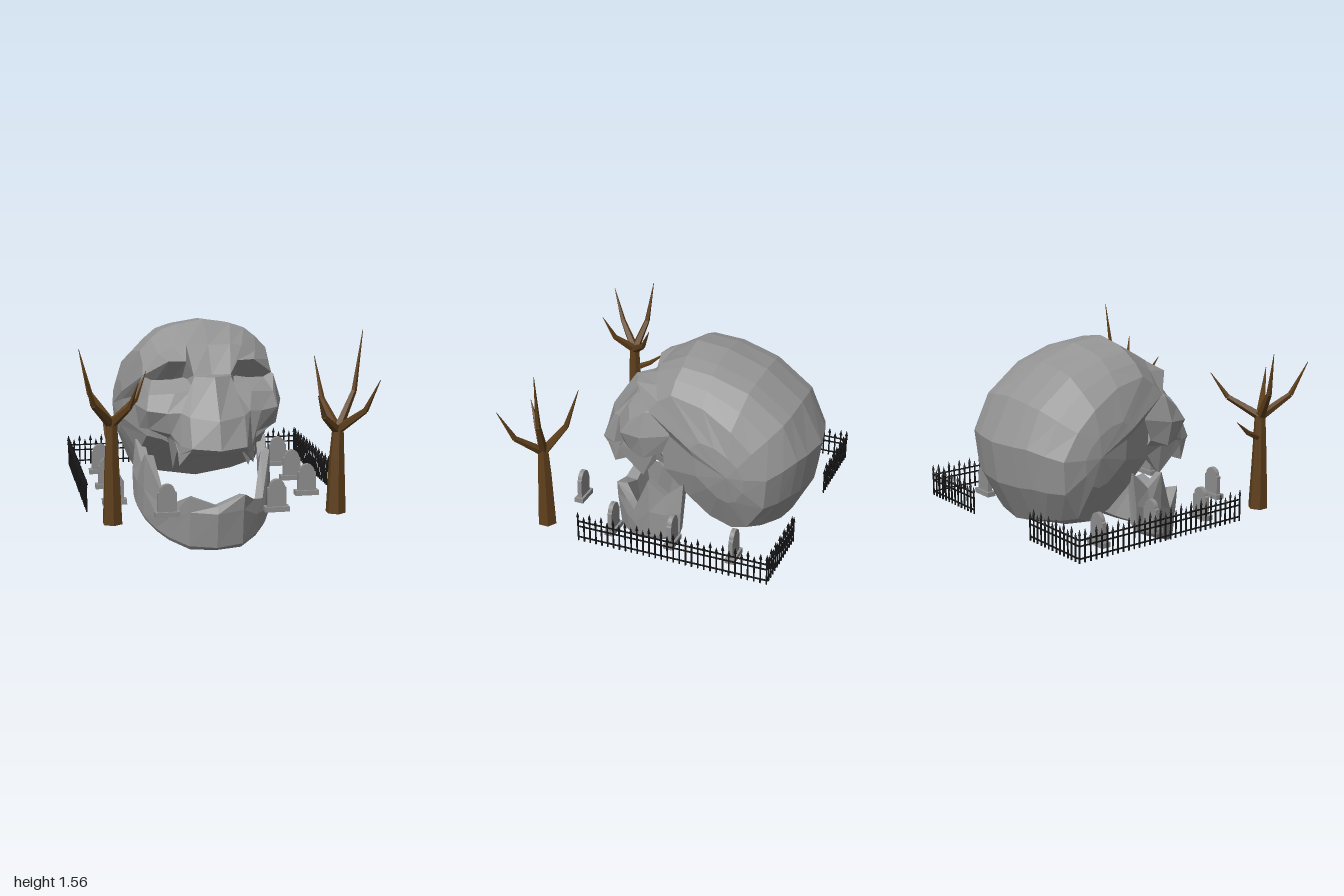
import * as THREE from 'three';
import { mergeGeometries } from 'three/addons/utils/BufferGeometryUtils.js';

const GROUND = 0.32;
const mat = (name, color, extra = {}) => {
  const m = new THREE.MeshStandardMaterial({ color, flatShading: true, ...extra });
  m.name = name;
  return m;
};

// Full row across x from a half row that runs centre -> side
const mirrorRow = (half) => [
  ...half.slice(1).reverse().map(([x, y, z]) => [-x, y, z]), ...half];

// Faceted surface from rows of points; rows may close into a loop
function gridGeometry(rows, closed) {
  const pos = [];
  const n = rows.length;
  for (let i = 0; i < (closed ? n : n - 1); i++) {
    const a = rows[i], b = rows[(i + 1) % n];
    for (let j = 0; j < a.length - 1; j++) {
      pos.push(...a[j], ...a[j + 1], ...b[j + 1], ...a[j], ...b[j + 1], ...b[j]);
    }
  }
  const g = new THREE.BufferGeometry();
  g.setAttribute('position', new THREE.Float32BufferAttribute(pos, 3));
  g.computeVertexNormals();
  return g;
}

function addMesh(parent, name, geometry, material) {
  const m = new THREE.Mesh(geometry, material);
  m.name = name;
  parent.add(m);
  return m;
}

// Point between two others, pushed slightly out from the middle of the cranium
function bulge(a, b, t, k) {
  const [x, y, z] = a.map((v, i) => v + (b[i] - v) * t);
  return [x, 0.9 + (y - 0.9) * k, -0.4 + (z + 0.4) * k];
}

// Cranium rings: brow, forehead, over the crown, round the back, along the base, eye socket depth
function craniumGeometry() {
  const crest = [[1.21, 0.27], [1.4, 0.13], [1.555, -0.08], [1.53, -0.31], [1.43, -0.59], [1.23, -0.85],
    [0.94, -1], [0.65, -0.96], [0.365, -0.81], [0.305, -0.6], [0.34, -0.39], [0.52, -0.2], [0.7, 0.08],
    [0.95, 0.18]];
  const shoulder = [[0.18, 1.31, 0.275], [0.24, 1.39, 0.12], [0.3, 1.485, -0.09], [0.31, 1.465, -0.31],
    [0.31, 1.38, -0.57], [0.31, 1.19, -0.82], [0.31, 0.94, -0.93], [0.31, 0.66, -0.89], [0.29, 0.42, -0.77],
    [0.28, 0.35, -0.6], [0.27, 0.38, -0.4], [0.26, 0.52, -0.22], [0.24, 0.7, 0.06], [0.2, 1.12, 0.13]];
  const temple = [[0.46, 1.19, 0.1], [0.45, 1.27, 0.03], [0.455, 1.34, -0.07], [0.485, 1.3, -0.31],
    [0.53, 1.19, -0.53], [0.54, 1.06, -0.68], [0.535, 0.88, -0.79], [0.52, 0.65, -0.77], [0.48, 0.45, -0.64],
    [0.45, 0.4, -0.52], [0.44, 0.45, -0.35], [0.45, 0.58, -0.2], [0.42, 0.74, 0], [0.42, 1.05, 0.02]];
  const hub = [0.6, 0.88, -0.53];
  const rows = crest.map(([y, z], i) => {
    const c = [0, y, z], s = shoulder[i], t = temple[i], k = i < 9 ? 1.02 : 1;
    const inner = i === 0 ? [0.13, 1.215, 0.285] : bulge(c, s, 0.65, k);
    const outer = i === 0 ? [0.3, 1.31, 0.25] : bulge(s, t, 0.5, k);
    const side = [t[0] + (hub[0] - t[0]) * 0.75, t[1] + (hub[1] - t[1]) * 0.55, t[2] + (hub[2] - t[2]) * 0.55];
    return mirrorRow([c, inner, s, outer, t, side, hub]);
  });
  return gridGeometry(rows, true);
}

// Face rows: socket floor, eye rim, nose base and cheekbone, upper jaw, cheek hollow, tooth edge, palate
function faceGeometry() {
  const socket = [[0, 1.215, 0.27], [0.13, 1.215, 0.285], [0.17, 1.19, 0.19], [0.27, 1.17, 0.17],
    [0.4, 1.16, 0.11], [0.46, 1.19, 0.1], [0.45, 1.2, 0]];
  const rim = [[0, 1.215, 0.385], [0.13, 1.205, 0.3], [0.14, 1.13, 0.33], [0.27, 1.1, 0.33],
    [0.44, 1.08, 0.25], [0.47, 1.18, 0.12], [0.455, 1.17, 0]];
  const nose = [[0, 0.94, 0.57], [0.19, 0.96, 0.48], [0.24, 0.98, 0.42], [0.33, 0.97, 0.375],
    [0.46, 0.98, 0.31], [0.52, 1, 0.14], [0.48, 1.04, -0.07]];
  const upperJaw = [[0, 0.75, 0.625], [0.19, 0.76, 0.57], [0.25, 0.76, 0.46], [0.3, 0.82, 0.36],
    [0.44, 0.84, 0.24], [0.49, 0.83, 0.13], [0.46, 0.88, 0]];
  const hollow = [[0, 0.74, 0.61], [0.195, 0.74, 0.55], [0.255, 0.7, 0.455], [0.28, 0.78, 0.39],
    [0.3, 0.77, 0.23], [0.31, 0.8, 0.11], [0.42, 0.83, 0]];
  const teeth = [[0, 0.73, 0.6], [0.2, 0.72, 0.53], [0.26, 0.62, 0.45], [0.27, 0.73, 0.43],
    [0.27, 0.55, 0.23], [0.28, 0.71, 0.12], [0.4, 0.76, 0]];
  const palate = teeth.map(([x]) => [x * 0.7, 0.76, 0.08]);
  return gridGeometry([palate, teeth, hollow, upperJaw, nose, rim, socket].map(mirrorRow), false);
}

// Lower jaw: a U-shaped loft from chin to hinge
function jawGeometry() {
  const bottom = [[0, 0.005, 0.45], [0.18, 0.01, 0.42], [0.31, 0.05, 0.3], [0.38, 0.09, 0.21],
    [0.45, 0.15, 0.09], [0.48, 0.2, -0.04], [0.495, 0.25, -0.14]];
  const chin = [[0, 0.03, 0.485], [0.19, 0.04, 0.44], [0.325, 0.08, 0.31], [0.395, 0.12, 0.22],
    [0.46, 0.18, 0.09], [0.49, 0.22, -0.04], [0.5, 0.28, -0.15]];
  const middle = [[0, 0.28, 0.52], [0.19, 0.29, 0.47], [0.31, 0.22, 0.345], [0.39, 0.22, 0.25],
    [0.46, 0.38, 0.1], [0.49, 0.4, -0.03], [0.505, 0.45, -0.16]];
  const top = [[0, 0.33, 0.49], [0.2, 0.4, 0.47], [0.29, 0.33, 0.35], [0.37, 0.31, 0.26],
    [0.45, 0.63, 0.11], [0.46, 0.54, -0.02], [0.48, 0.68, -0.17]];
  const inward = (row, dy) => row.map(([x, y, z], i) => [x * 0.86, y + dy, z - (i < 4 ? 0.09 - i * 0.02 : 0)]);
  const rows = [bottom, chin, middle, top, inward(top, -0.01), inward(bottom, 0.04)];
  const end = [0.45, 0.45, -0.15];
  return gridGeometry(rows.map((r) => mirrorRow([...r, end])), true);
}

// Tapered limb through a few points
function limb(points, radii, sides) {
  const up = new THREE.Vector3(0, 1, 0);
  return mergeGeometries(points.slice(1).map((p, i) => {
    const a = new THREE.Vector3(...points[i]), d = new THREE.Vector3(...p).sub(a);
    const g = new THREE.CylinderGeometry(radii[i + 1], radii[i], d.length(), sides);
    g.applyQuaternion(new THREE.Quaternion().setFromUnitVectors(up, d.clone().normalize()));
    return g.translate(...a.addScaledVector(d, 0.5).toArray());
  }));
}

function makeTree(name, x, z, fork, tips, twig, bark) {
  const tree = new THREE.Group();
  tree.name = name;
  const top = [x + 0.005, fork, z];
  addMesh(tree, 'trunk', limb([[x, GROUND, z], [x, 0.7, z], top], [0.07, 0.053, 0.038], 6), bark);
  tips.forEach((tip) => {
    const mid = [x + (tip[0] - x) * 0.67, fork + (tip[1] - fork) * 0.36, z + (tip[2] - z) * 0.62];
    addMesh(tree, 'branch', limb([[x, fork - 0.03, z], mid, tip], [0.034, 0.02, 0.002], 5), bark);
  });
  if (twig) {
    const mid = [(x + twig[0]) / 2, twig[1] - 0.1, (z + twig[2]) / 2];
    addMesh(tree, 'lowBranch', limb([[x, twig[1] - 0.16, z], mid, twig], [0.026, 0.018, 0.002], 5), bark);
  }
  return tree;
}

// Straight fence run with rails and alternating tall and short spear pickets
function fenceRun(x0, z0, x1, z1) {
  const parts = [], len = Math.hypot(x1 - x0, z1 - z0), n = Math.round(len / 0.044);
  const alongX = Math.abs(x1 - x0) > Math.abs(z1 - z0);
  const box = (w, h, d, x, y, z) => parts.push(new THREE.BoxGeometry(w, h, d).translate(x, y, z));
  for (const y of [0.35, 0.435, 0.475]) {
    box(alongX ? len : 0.008, 0.009, alongX ? 0.008 : len, (x0 + x1) / 2, y, (z0 + z1) / 2);
  }
  for (let i = 0; i <= n; i++) {
    const x = x0 + (x1 - x0) * i / n, z = z0 + (z1 - z0) * i / n;
    const h = i % 2 ? 0.16 : 0.19;
    box(0.009, h, 0.009, x, GROUND + h / 2, z);
    parts.push(new THREE.ConeGeometry(0.012, 0.045, 4).translate(x, GROUND + h + 0.02, z));
  }
  return mergeGeometries(parts);
}

function makeTombstone(x, z, stone) {
  const grave = new THREE.Group();
  grave.name = 'tombstone';
  grave.position.set(x, GROUND, z);
  addMesh(grave, 'plinth', new THREE.BoxGeometry(0.17, 0.035, 0.066).translate(0, 0.0175, 0), stone);
  const w = 0.065, s = new THREE.Shape();
  s.moveTo(-w, 0.03);
  s.lineTo(w, 0.03);
  s.lineTo(w, 0.165);
  s.lineTo(w - 0.012, 0.172);
  s.absarc(0, 0.172, w - 0.012, 0, Math.PI, false);
  s.lineTo(-w, 0.165);
  const slab = new THREE.ExtrudeGeometry(s, { depth: 0.032, bevelEnabled: false, curveSegments: 8 });
  addMesh(grave, 'slab', slab.translate(0, 0, -0.016), stone);
  return grave;
}

export function createModel() {
  const model = new THREE.Group();
  model.name = 'skullGraveyard';
  const bone = mat('bone grey', 0x949494, { side: THREE.DoubleSide });
  const stone = mat('stone grey', 0x8e8e8e);
  const bark = mat('bark brown', 0x5e3f1b);
  const iron = mat('iron black', 0x141414);

  const skull = new THREE.Group();
  skull.name = 'skull';
  skull.position.set(-0.022, -0.005, 0);
  addMesh(skull, 'cranium', craniumGeometry(), bone);
  addMesh(skull, 'face', faceGeometry(), bone);
  addMesh(skull, 'lowerJaw', jawGeometry(), bone);
  model.add(skull);

  model.add(makeTree('rightTree', -0.78, 0.75, 1.02,
    [[-0.975, 1.475, 0.67], [-0.975, 1.38, 1], [-0.625, 1.29, 0.94], [-0.515, 1.29, 0.51]],
    [-0.81, 0.99, 0.5], bark));
  model.add(makeTree('leftTree', 0.745, 0.75, 0.92,
    [[0.925, 1.555, 0.69], [0.97, 1.26, 0.965], [0.64, 1.36, 0.515], [0.56, 1.165, 0.93]], null, bark));

  // Open-fronted iron fence with a gap behind the skull
  const runs = [[-0.92, 0.44, -0.92, -0.935], [0.875, 0.44, 0.875, -0.935],
    [-0.92, -0.935, -0.37, -0.935], [0.875, -0.935, 0.325, -0.935]];
  runs.forEach((r) => addMesh(model, 'fence', fenceRun(...r), iron));

  for (const z of [-0.625, -0.175, 0.27]) {
    for (const x of [-0.71, 0.665]) model.add(makeTombstone(x, z, stone));
  }
  for (const x of [-0.4, 0.355]) model.add(makeTombstone(x, 0.655, stone));
  return model;
}
